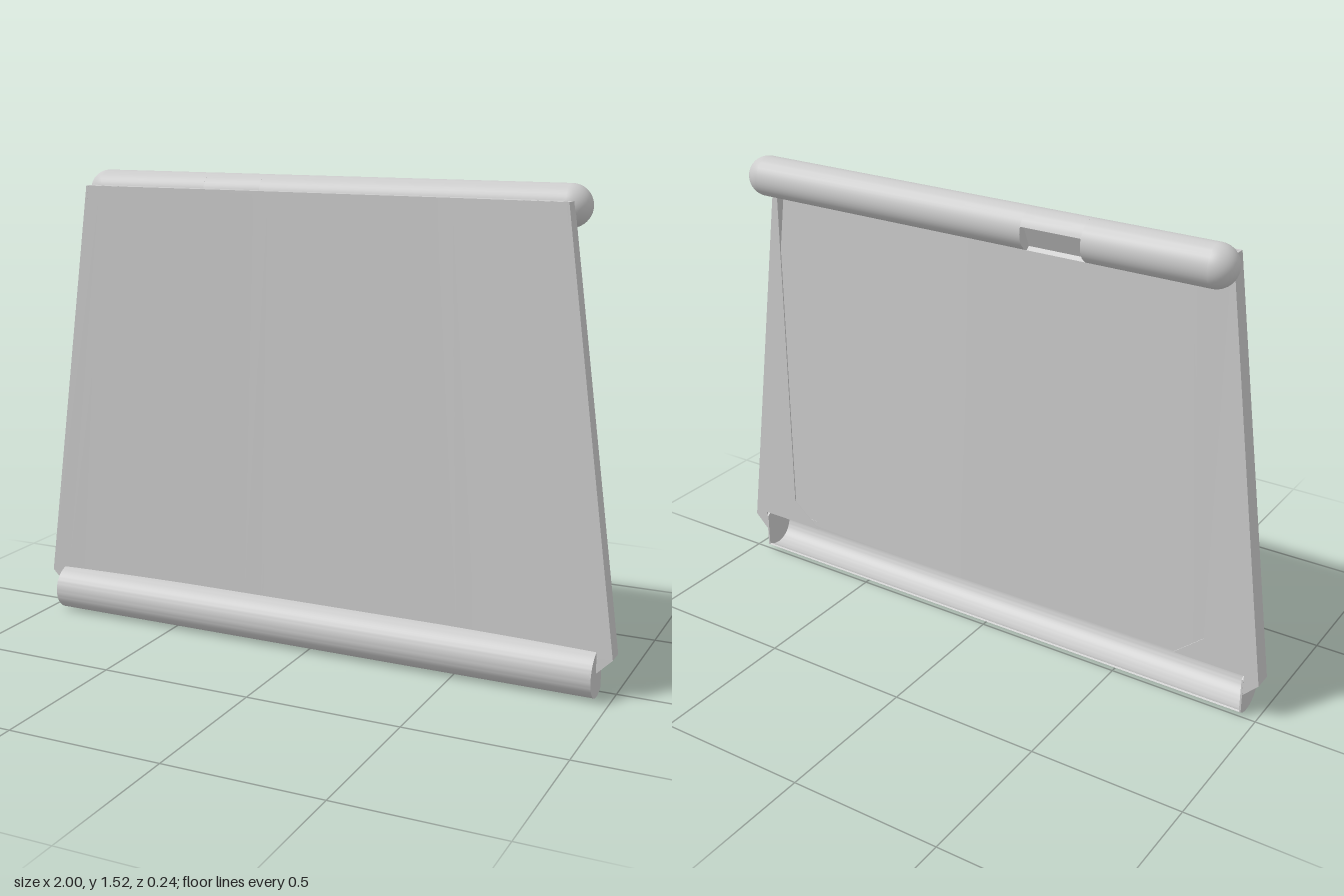
import * as THREE from 'three';
import { toCreasedNormals } from 'three/addons/utils/BufferGeometryUtils.js';

const grey = new THREE.MeshStandardMaterial({ color: 0xcccccc });
grey.name = 'light grey';

export function createModel() {
  const group = new THREE.Group();
  const add = (name, geometry) => {
    const mesh = new THREE.Mesh(geometry, grey);
    mesh.name = name;
    group.add(mesh);
  };

  // Extrudes a (z, y) outline along x from x0 to x1
  const alongX = (pts, x0, x1) => {
    const shape = new THREE.Shape(pts.map(([z, y]) => new THREE.Vector2(-z, y)));
    const g = new THREE.ExtrudeGeometry(shape, { depth: x1 - x0, bevelEnabled: false });
    g.rotateY(Math.PI / 2).translate(x0, 0, 0);
    return toCreasedNormals(g, 0.5);
  };
  // Extrudes an (x, y) outline along z from z0 to z1
  const alongZ = (pts, z0, z1) => {
    const shape = new THREE.Shape(pts.map(([x, y]) => new THREE.Vector2(x, y)));
    const g = new THREE.ExtrudeGeometry(shape, { depth: z1 - z0, bevelEnabled: false });
    return g.translate(0, 0, z0);
  };
  // Arc points in the (z, y) plane; angle 0 faces +z
  const arc = (cz, cy, r, a0, a1, n) => Array.from({ length: n + 1 }, (_, i) => {
    const a = a0 + (a1 - a0) * i / n;
    return [cz + r * Math.cos(a), cy + r * Math.sin(a)];
  });

  // Thin tapered front sheet, bowed gently backwards in the middle
  const sheet = new THREE.BoxGeometry(2, 1, 1, 32, 1, 1);
  const p = sheet.attributes.position;
  for (let i = 0; i < p.count; i++) {
    const top = p.getY(i) > 0;
    const x = p.getX(i) * (top ? 0.815 : 1);
    const z = 0.04 + 0.024 * x * x - (p.getZ(i) > 0 ? 0 : 0.008);
    p.setXYZ(i, x, top ? 1.475 : 0.13, z);
  }
  add('frontSheet', toCreasedNormals(sheet, 0.5));

  // Top lip folded back towards the rail
  add('topLip', alongZ([[-0.81, 1.467], [0.81, 1.467], [0.814, 1.475], [-0.814, 1.475]], 0, 0.042));

  // Folded sides: wall, back flange and chamfered lower corner
  for (const s of [-1, 1]) {
    const side = s > 0 ? 'left' : 'right';
    const mirror = (pts) => pts.map(([x, y]) => [s * x, y]);
    add(side + 'Wall', alongZ(mirror([
      [0.815, 1.475], [1, 0.13], [0.992, 0.13], [0.807, 1.475],
    ]), 0.002, 0.056));
    add(side + 'Flange', alongZ(mirror([
      [0.815, 1.475], [1, 0.13], [0.95, 0.08], [0.95, 0.15], [0.71, 0.15], [0.81, 0.235], [0.81, 1.475],
    ]), 0.001, 0.005));
    add(side + 'Corner', alongZ(mirror([[1, 0.13], [0.95, 0.08], [0.95, 0.13]]), 0.004, 0.062));
  }

  // Hollow gutter rolled forward from the sheet, open at the back, capped at both ends
  const cut = 2.214;
  const segment = arc(0.045, 0.075, 0.075, -cut, cut, 40);
  const shell = [
    ...arc(0.045, 0.075, 0.075, -cut, Math.PI / 2, 40),
    ...arc(0.045, 0.075, 0.069, Math.PI / 2, -cut, 40),
  ];
  add('gutter', alongX(shell, -0.95, 0.95));
  add('rightGutterCap', alongX(segment, -0.95, -0.944));
  add('leftGutterCap', alongX(segment, 0.944, 0.95));

  // Round top rail with a pocket facing back and slightly down
  const r = 0.065, cy = 1.457, cz = -0.052, half = 0.79;
  const circle = arc(cz, cy, r, 0, Math.PI * 2, 40).slice(0, -1);
  const mid = Math.PI + 0.44, open = 0.77;
  const pocketed = [
    ...arc(cz, cy, r, mid + open, mid - open + Math.PI * 2, 32),
    ...arc(cz, cy, 0.052, mid - 0.92, mid + 0.92, 1),
  ];
  add('topRailRight', alongX(circle, -half, -0.4));
  add('topRailPocket', alongX(pocketed, -0.4, -0.2));
  add('topRailLeft', alongX(circle, -0.2, half));
  for (const s of [-1, 1]) {
    const dome = new THREE.SphereGeometry(r, 40, 12, 0, Math.PI * 2, 0, Math.PI / 2);
    dome.rotateZ(-s * Math.PI / 2).translate(s * half, cy, cz);
    add(s > 0 ? 'leftRailEnd' : 'rightRailEnd', dome);
  }
  return group;
}
